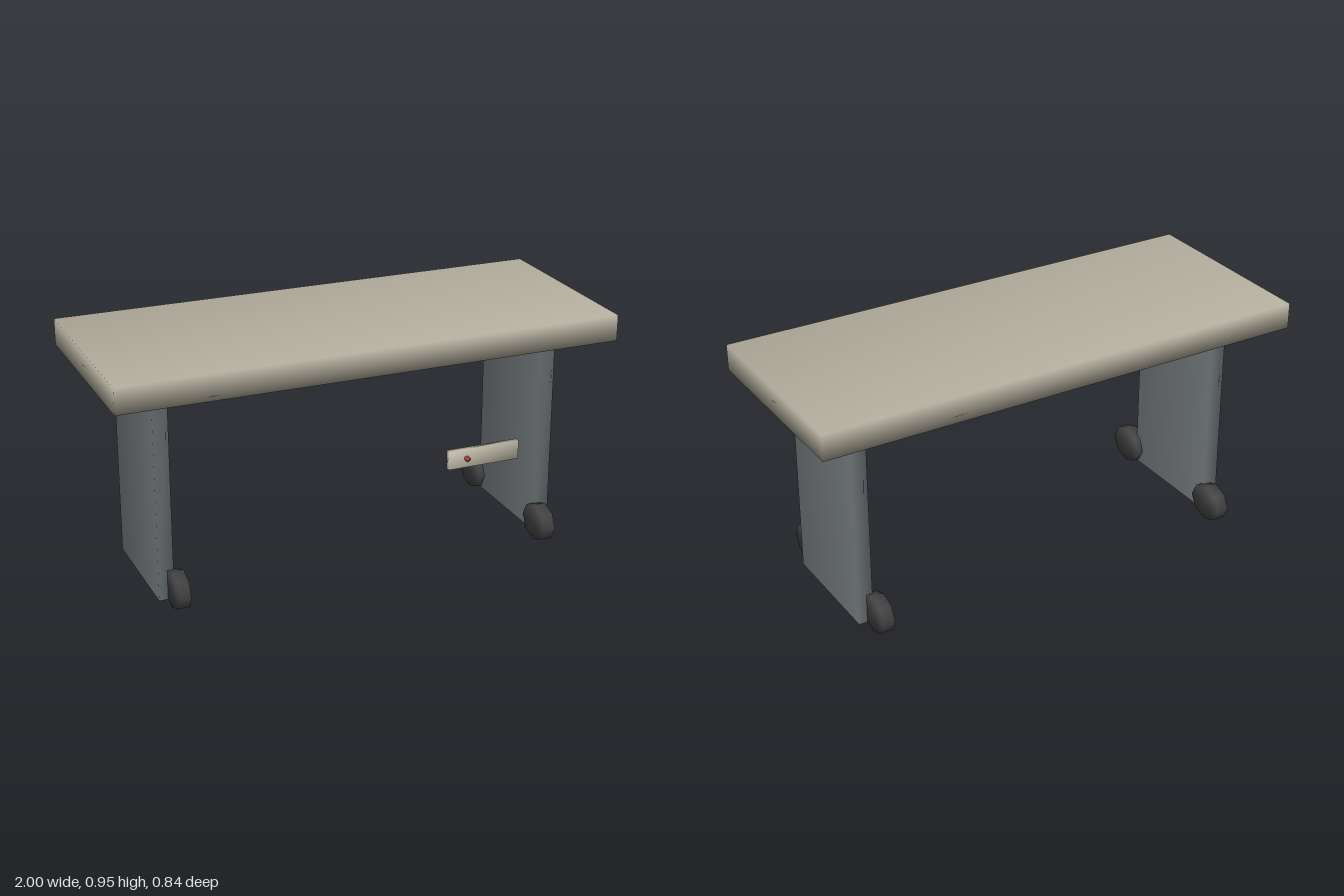
import * as THREE from 'three';
import { mergeVertices } from 'three/addons/utils/BufferGeometryUtils.js';

const material = (color) => new THREE.MeshStandardMaterial({ color });

// Share corner vertices so shading runs smoothly over the edges
function smooth(geometry) {
  geometry.deleteAttribute('normal');
  geometry.deleteAttribute('uv');
  const merged = mergeVertices(geometry, 1e-4);
  merged.computeVertexNormals();
  return merged;
}

function addMesh(parent, name, geometry, mat, x, y, z) {
  const mesh = new THREE.Mesh(smooth(geometry), mat);
  mesh.name = name;
  mesh.position.set(x, y, z);
  parent.add(mesh);
  return mesh;
}

export function createModel() {
  const desk = new THREE.Group();
  desk.name = 'desk';
  const topMat = material(0xb5af9f);
  const legMat = material(0x848b8e);
  const wheelMat = material(0x484848);
  const buttonMat = material(0xb04040);

  // Table top
  addMesh(desk, 'tableTop', new THREE.BoxGeometry(2, 0.104, 0.796), topMat, 0, 0.897, -0.019);

  // Panel legs, each with a front and a back wheel
  for (const side of [-1, 1]) {
    const name = side > 0 ? 'left' : 'right';
    addMesh(desk, name + 'Leg', new THREE.BoxGeometry(0.06, 0.8, 0.48), legMat, side * 0.79, 0.413, -0.019);
    for (const [end, z] of [['Front', 0.264], ['Back', -0.302]]) {
      const wheel = new THREE.CylinderGeometry(0.0735, 0.0735, 0.05, 8);
      wheel.rotateZ(Math.PI / 2).scale(1, 1, 1.2);
      addMesh(desk, name + end + 'Wheel', wheel, wheelMat, side * 0.76, 0.0745, z);
    }
  }

  // Floating control panel with its button
  addMesh(desk, 'controlPanel', new THREE.BoxGeometry(0.294, 0.074, 0.022), topMat, 0.428, 0.471, 0.394);
  const button = new THREE.CylinderGeometry(0.01, 0.01, 0.02, 8).rotateX(Math.PI / 2);
  addMesh(desk, 'button', button, buttonMat, 0.355, 0.471, 0.408);

  return desk;
}
